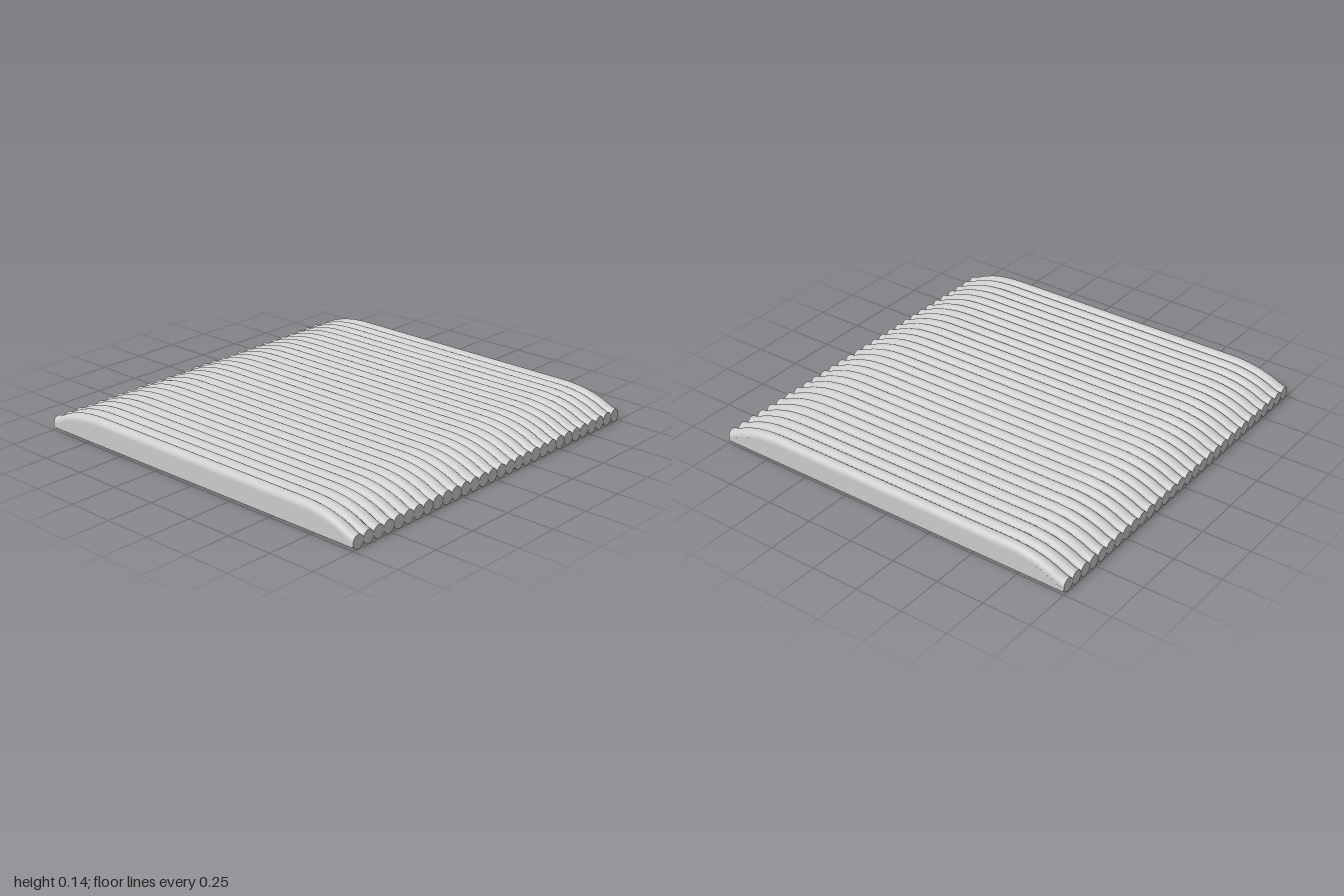
import * as THREE from 'three';

const RIBS = 30;
const RADIUS = 1 / RIBS;      // half a rib's width
const HALF_HEIGHT = 0.035;    // half a rib's height
const FLOOR = 0.015;          // flat underside of the core

// Crest line of one rib, from the outer tip to the middle: [x, top]
const crest = [
  [1, 0.07], [0.985, 0.072], [0.96, 0.081], [0.93, 0.096], [0.9, 0.108], [0.86, 0.121],
  [0.82, 0.131], [0.77, 0.139], [0.71, 0.144], [0.65, 0.145],
];
const stations = [
  ...crest.map(([x, top]) => [-x, top - HALF_HEIGHT]),
  ...crest.map(([x, top]) => [x, top - HALF_HEIGHT]).reverse(),
];

// A rounded bar along x, bent to follow the crest line
function ribGeometry() {
  const n = stations.length - 1;
  const geo = new THREE.CylinderGeometry(RADIUS, RADIUS, 2, 24, n, false, -Math.PI / 2);
  geo.rotateZ(Math.PI / 2);
  const pos = geo.attributes.position;
  for (let i = 0; i < pos.count; i++) {
    const [x, centre] = stations[Math.round((pos.getX(i) + 1) / 2 * n)];
    pos.setX(i, x);
    pos.setY(i, centre + pos.getY(i) * HALF_HEIGHT / RADIUS);
  }
  geo.computeVertexNormals();
  return geo;
}

// Solid slab under the ribs, with flat sides and underside
function coreGeometry() {
  const outline = stations.map(([x, y]) => new THREE.Vector2(x * 0.998, y));
  const shape = new THREE.Shape([
    new THREE.Vector2(-0.998, FLOOR), new THREE.Vector2(0.998, FLOOR), ...outline.reverse(),
  ]);
  const geo = new THREE.ExtrudeGeometry(shape, { depth: 2, bevelEnabled: false });
  geo.translate(0, 0, -1);
  return geo;
}

export function createModel() {
  const model = new THREE.Group();
  model.name = 'ribbedPanel';
  const material = new THREE.MeshStandardMaterial({ color: 0xcccccc });

  const core = new THREE.Mesh(coreGeometry(), material);
  core.name = 'core';
  model.add(core);

  // Row of identical ribs from back to front
  const ribs = new THREE.Group();
  ribs.name = 'ribs';
  const geo = ribGeometry();
  for (let i = 0; i < RIBS; i++) {
    const rib = new THREE.Mesh(geo, material);
    rib.name = 'rib';
    rib.position.z = -1 + RADIUS * (2 * i + 1);
    ribs.add(rib);
  }
  model.add(ribs);
  return model;
}
